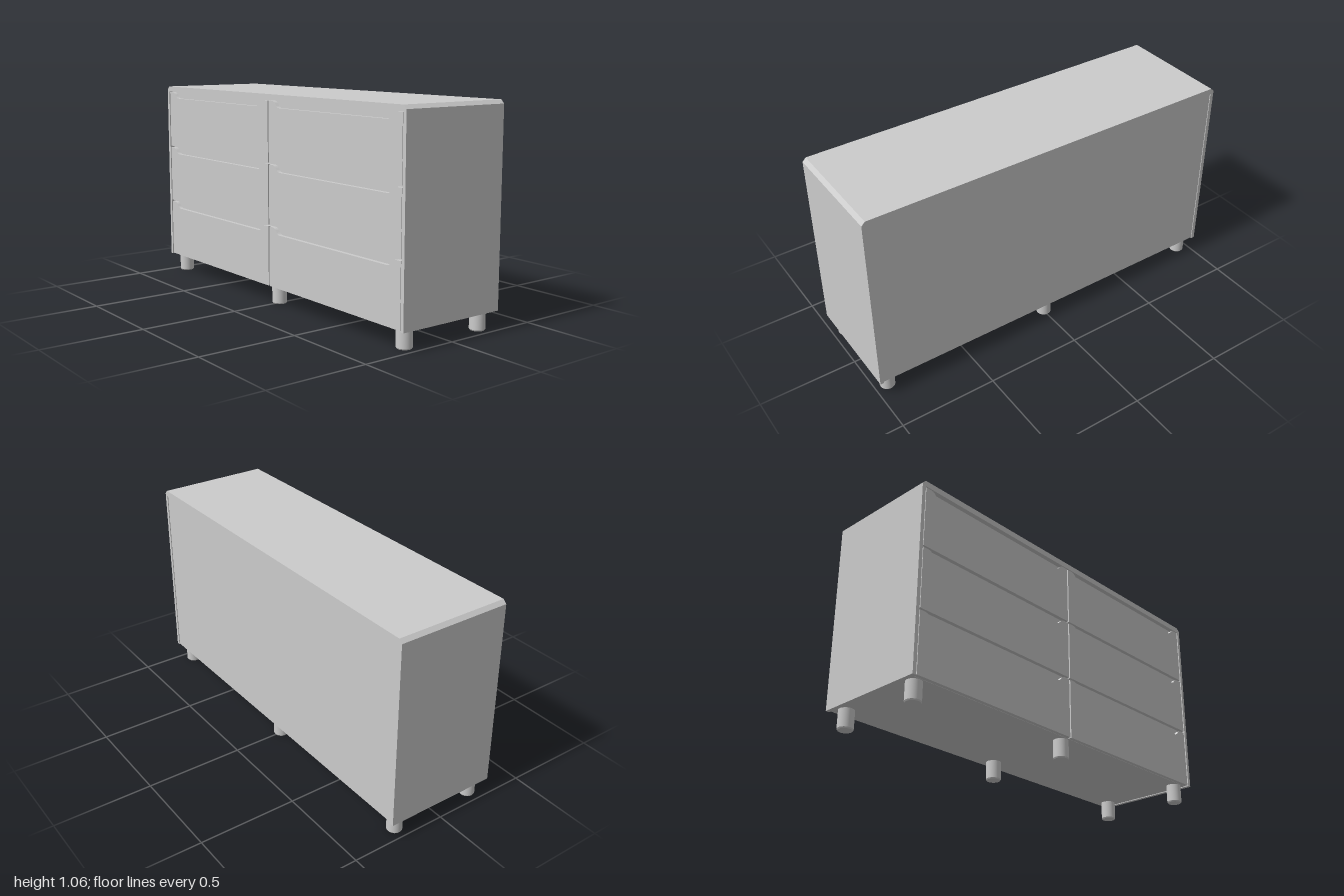
import * as THREE from 'three';

const material = new THREE.MeshStandardMaterial({ color: 0xcccccc });
const DEPTH = 0.586, HALF = DEPTH / 2, BASE = 0.093, TOP = 1.06;

function extrudeOutline(points, depth, zStart, name) {
  const shape = new THREE.Shape(points.map(([x, y]) => new THREE.Vector2(x, y)));
  const geometry = new THREE.ExtrudeGeometry(shape, { depth, bevelEnabled: false });
  geometry.translate(0, 0, zStart);
  const mesh = new THREE.Mesh(geometry, material);
  mesh.name = name;
  return mesh;
}

// Drawer front with a shallow finger scoop cut from its top edge
function drawerFront(x0, x1, y0, y1) {
  const s = 0.033;
  const shape = new THREE.Shape();
  shape.moveTo(x0, y0);
  shape.lineTo(x1, y0);
  shape.lineTo(x1, y1);
  shape.lineTo(x1 - 0.03, y1);
  shape.bezierCurveTo(x1 - 0.06, y1, x1 - 0.06, y1 - s, x1 - 0.09, y1 - s);
  shape.lineTo(x0 + 0.09, y1 - s);
  shape.bezierCurveTo(x0 + 0.06, y1 - s, x0 + 0.06, y1, x0 + 0.03, y1);
  shape.lineTo(x0, y1);
  const geometry = new THREE.ExtrudeGeometry(shape, { depth: 0.02, bevelEnabled: false, curveSegments: 8 });
  geometry.translate(0, 0, HALF - 0.022);
  const mesh = new THREE.Mesh(geometry, material);
  mesh.name = 'drawerFront';
  return mesh;
}

export function createModel() {
  const model = new THREE.Group();
  model.name = 'dresser';

  // Top and side panels as one inverted U with chamfered upper corners
  const c = 0.018, inner = 0.981, under = 1.031;
  model.add(extrudeOutline([
    [-1, BASE], [-inner, BASE], [-inner, under], [inner, under], [inner, BASE], [1, BASE],
    [1, TOP - c], [1 - c, TOP], [-1 + c, TOP], [-1, TOP - c],
  ], DEPTH, -HALF, 'outerCase'));

  // Inner carcass set behind the drawer fronts, just inside the back edge
  const back = -HALF + 0.004, front = HALF - 0.024;
  const carcass = new THREE.Mesh(new THREE.BoxGeometry(2 * inner, under - 0.097, front - back), material);
  carcass.position.set(0, (under + 0.097) / 2, (front + back) / 2);
  carcass.name = 'carcass';
  model.add(carcass);

  // Six drawers in two columns
  const drawers = new THREE.Group();
  drawers.name = 'drawers';
  for (const [y0, y1] of [[0.097, 0.402], [0.411, 0.714], [0.723, 1.028]]) {
    drawers.add(drawerFront(-0.976, -0.004, y0, y1), drawerFront(0.004, 0.976, y0, y1));
  }
  model.add(drawers);

  // Six round feet with a slightly eased bottom edge
  const r = 0.038;
  const side = new THREE.CylinderGeometry(r, r, 0.092, 32);
  const eased = new THREE.CylinderGeometry(r, r - 0.004, 0.006, 32);
  for (const x of [-0.935, 0, 0.935]) {
    for (const z of [-0.227, 0.227]) {
      const foot = new THREE.Group();
      foot.name = 'foot';
      const post = new THREE.Mesh(side, material);
      post.name = 'footPost';
      post.position.y = 0.052;
      const rim = new THREE.Mesh(eased, material);
      rim.name = 'footRim';
      rim.position.y = 0.003;
      foot.add(post, rim);
      foot.position.set(x, 0, z);
      model.add(foot);
    }
  }
  return model;
}
